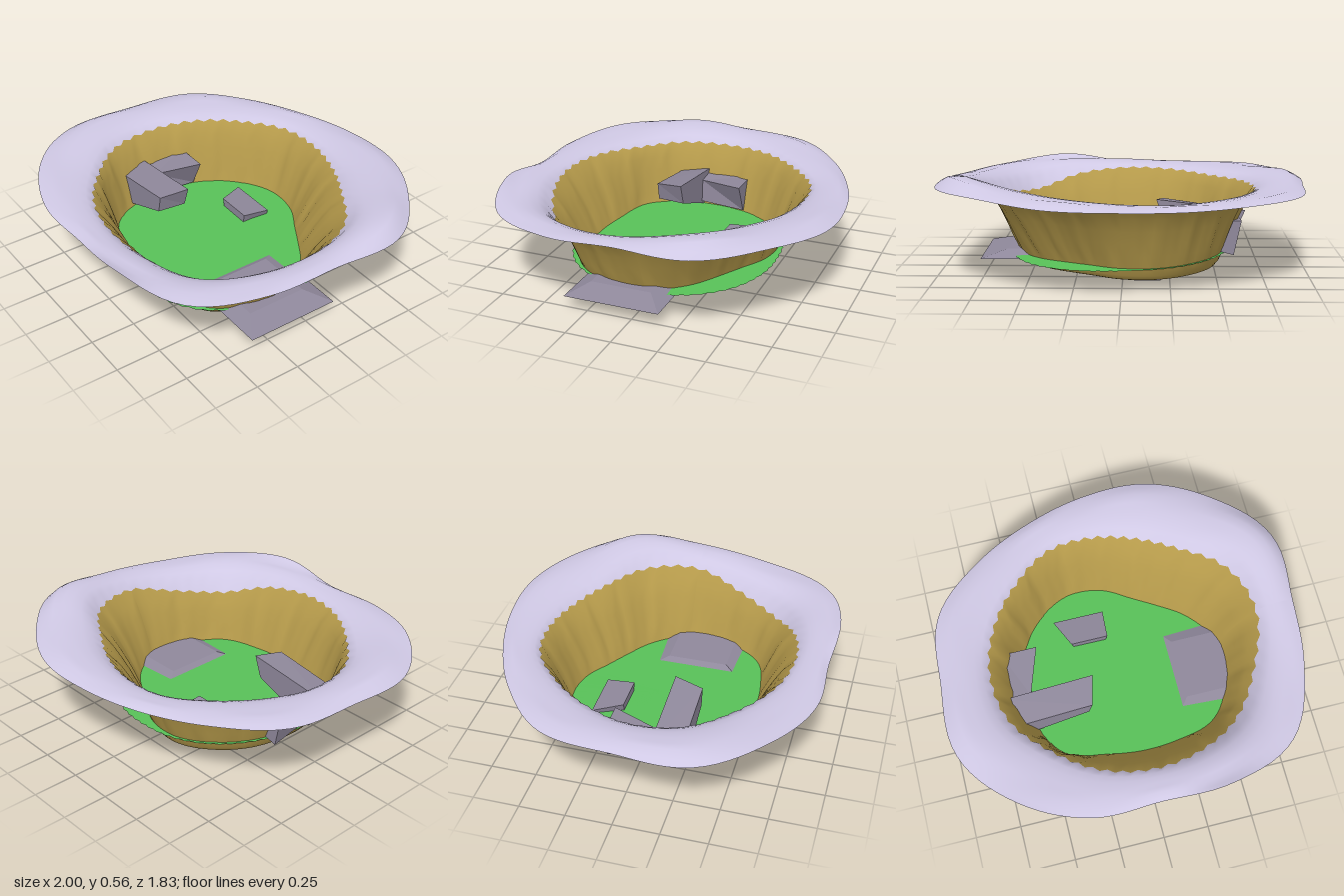
import * as THREE from 'three';

const SEG = 112;
// closed smooth loop through 16 values spaced evenly around the circle
function loop(values) {
  const n = values.length;
  return (t) => {
    const f = t * n, i = Math.floor(f), u = f - i;
    const [a, b, c, d] = [-1, 0, 1, 2].map((k) => values[(i + k + n) % n]);
    return b + 0.5 * u * (c - a + u * (2 * a - 5 * b + 4 * c - d + u * (3 * (b - c) + d - a)));
  };
}
// angles start at +x and turn towards +z
const footR = loop([.58, .61, .62, .55, .52, .53, .6, .58, .55, .54, .53, .52, .475, .42, .43, .5]);
const lipR = loop([.77, .74, .74, .73, .72, .71, .7, .73, .72, .69, .67, .68, .65, .63, .65, .74]);
const lipY = loop([.45, .38, .35, .42, .45, .45, .44, .44, .44, .45, .45, .45, .45, .45, .46, .46]);
const edgeR = loop([.97, 1, 1.06, .98, .9, .97, 1.03, 1.06, .985, 1, .92, .88, .9, .965, 1, 1.05]);
const crestY = loop([.51, .48, .48, .49, .48, .48, .48, .5, .49, .48, .48, .48, .49, .51, .53, .56]);
const edgeY = loop([.5, .47, .47, .51, .46, .46, .48, .46, .46, .46, .46, .46, .47, .48, .5, .5]);
const pondR = loop([.61, .62, .64, .63, .6, .64, .67, .63, .58, .56, .55, .54, .53, .55, .58, .6]);

const mix = THREE.MathUtils.lerp;

// cross-section of the basin at one angle, as [radius, height]
function section(t, j) {
  const f = footR(t), l = lipR(t), ly = lipY(t), e = edgeR(t), c = crestY(t), ey = edgeY(t);
  const ripple = 0.005 * Math.sin(t * 138) + 0.004 * Math.sin(t * 245);
  const saw = j % 2 ? 0.008 : -0.008;
  const wall = (k, out) => [mix(f, l, out) + ripple, mix(0.1, ly, k)];
  const rim = (k, y) => [mix(l, e, k), y];
  return [
    [0, 0.028], [f * 0.5, 0.028], [f * 0.88, 0.028], [f * 0.935, 0.036], [f * 0.97, 0.06],
    [f, 0.1], wall(0.2, 0.16), wall(0.4, 0.32), wall(0.6, 0.5), wall(0.8, 0.7),
    [l + saw, ly + saw * 0.6],
    rim(0.14, mix(ly, c, 0.5)), rim(0.28, mix(ly, c, 0.78)), rim(0.45, mix(ly, c, 0.95)),
    rim(0.6, c), rim(0.75, c + 0.005 * Math.sin(t * 57)), rim(0.9, mix(c, ey, 0.5)), rim(1, ey),
  ];
}

function material(color, flatShading = false) {
  return new THREE.MeshStandardMaterial({ color, flatShading, side: THREE.DoubleSide });
}

function add(group, name, geometry, mat) {
  const mesh = new THREE.Mesh(geometry, mat);
  mesh.name = name;
  group.add(mesh);
}

// grid of rings; at(t, j) returns the profile for column j
function ringGrid(at) {
  const pos = [], idx = [];
  const rows = at(0, 0).length;
  for (let j = 0; j <= SEG; j++) {
    const t = (j % SEG) / SEG, a = t * Math.PI * 2;
    for (const [r, y] of at(t, j)) pos.push(r * Math.cos(a), y, r * Math.sin(a));
  }
  for (let i = 0; i < rows - 1; i++) {
    for (let j = 0; j < SEG; j++) {
      const p = j * rows + i, q = p + rows;
      idx.push(p, p + 1, q + 1, p, q + 1, q);
    }
  }
  // flip so that the faces look up
  for (let k = 0; k < idx.length; k += 3) [idx[k + 1], idx[k + 2]] = [idx[k + 2], idx[k + 1]];
  const g = new THREE.BufferGeometry();
  g.setAttribute('position', new THREE.Float32BufferAttribute(pos, 3));
  g.setIndex(idx);
  g.computeVertexNormals();
  return g;
}

// six-sided rock from its lower and upper corners, both in the same order
function rock(lower, upper) {
  const c = [...lower, ...upper];
  const quads = [[0, 1, 2, 3], [4, 7, 6, 5]];
  for (let i = 0; i < 4; i++) quads.push([i, i + 4, (i + 1) % 4 + 4, (i + 1) % 4]);
  const pos = quads.flatMap(([p, q, r, s]) => [p, q, r, p, r, s].flatMap((k) => c[k]));
  const g = new THREE.BufferGeometry();
  g.setAttribute('position', new THREE.Float32BufferAttribute(pos, 3));
  g.computeVertexNormals();
  return g;
}
// level rectangle of corners, turning from +x towards +z
const rect = (x0, x1, z0, z1, y) => [[x0, y, z0], [x1, y, z0], [x1, y, z1], [x0, y, z1]];

export function createModel() {
  const group = new THREE.Group();

  // basin: floor and walls are earth, the wavy rim is pale; both share normals
  const basin = ringGrid(section);
  const index = Array.from(basin.index.array);
  const split = 10 * SEG * 6;
  const parts = [
    ['basinWalls', index.slice(0, split), 0xb4994a],
    ['rim', index.slice(split), 0xcfc8e4],
  ];
  for (const [name, part, color] of parts) {
    const g = new THREE.BufferGeometry();
    g.setAttribute('position', basin.attributes.position);
    g.setAttribute('normal', basin.attributes.normal);
    g.setIndex(part);
    add(group, name, g, material(color));
  }

  // thin, slightly tilted pond surface that cuts through the walls
  const pond = ringGrid((t, j) => {
    const r = pondR(t) + (j % 2 ? 0.004 : -0.004);
    const y = 0.1 - 0.013 * Math.cos(t * Math.PI * 2);
    return [[0, 0.1], [r * 0.5, (0.1 + y) / 2], [r, y]];
  });
  add(group, 'pondSurface', pond, material(0x58c158));

  // flat rocks
  const stone = material(0x8f889b, true);
  add(group, 'wideRock', rock(
    rect(0.25, 0.78, -0.16, 0.37, 0.075),
    rect(0.32, 0.64, -0.06, 0.28, 0.112)), stone);
  add(group, 'smallRock', rock(
    rect(-0.2, -0.06, -0.33, -0.17, 0),
    [[-0.31, 0.13, -0.33], [-0.02, 0.13, -0.33], [-0.03, 0.15, -0.17], [-0.24, 0.15, -0.17]]), stone);
  add(group, 'leaningRock', rock(
    [[-0.6, 0.1, -0.15], [-0.52, 0.12, -0.15], [-0.52, 0.14, 0.11], [-0.57, 0.12, 0.11]],
    [[-0.64, 0.29, -0.15], [-0.44, 0.29, -0.15], [-0.53, 0.27, 0.11], [-0.63, 0.28, 0.11]]), stone);
  add(group, 'ledgeRock', rock(
    [[-0.59, 0.1, 0.11], [-0.22, 0.24, 0.11], [-0.24, 0.24, 0.27], [-0.58, 0.11, 0.27]],
    [[-0.68, 0.3, 0.11], [-0.18, 0.36, 0.11], [-0.22, 0.34, 0.27], [-0.64, 0.28, 0.27]]), stone);

  return group;
}
